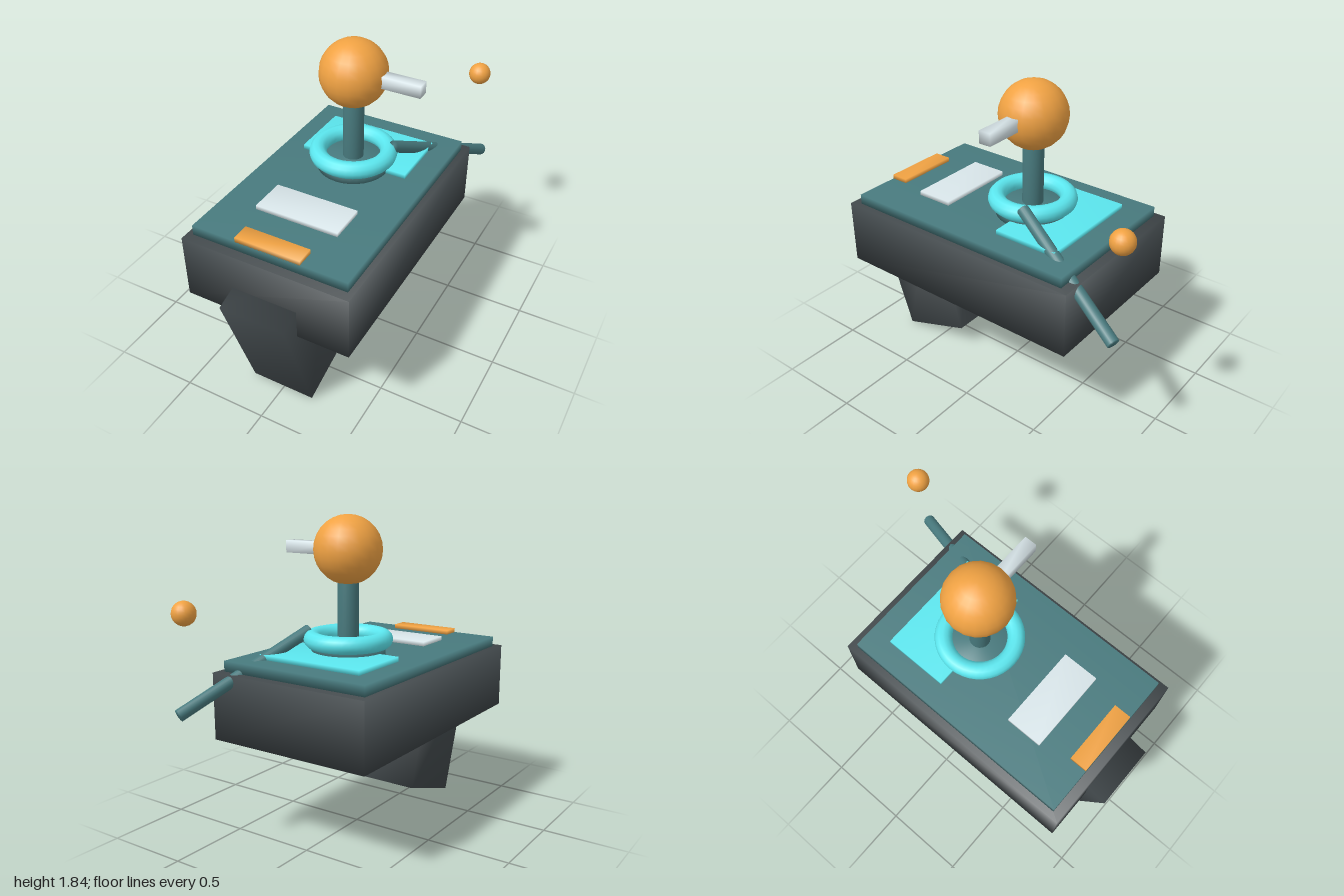
import * as THREE from 'three';
import { mergeVertices } from 'three/addons/utils/BufferGeometryUtils.js';

const material = (color) => new THREE.MeshStandardMaterial({ color });

// Share corner vertices so shading flows softly over every edge
function soften(geometry) {
  geometry.deleteAttribute('normal');
  geometry.deleteAttribute('uv');
  const merged = mergeVertices(geometry, 1e-4);
  merged.computeVertexNormals();
  return merged;
}

export function createModel() {
  const model = new THREE.Group();
  const dark = material(0x41484b);
  const teal = material(0x487a7e);
  const cyan = material(0x5be6ee);
  const orange = material(0xf0a243);
  const white = material(0xd9e6ea);
  const cx = -0.01;
  const stickZ = -0.1;

  function add(name, geometry, mat, x, y, z) {
    const mesh = new THREE.Mesh(geometry, mat);
    mesh.name = name;
    mesh.position.set(x, y, z);
    model.add(mesh);
    return mesh;
  }

  // Box given by its extents on each axis
  function box(name, mat, [x0, x1], [y0, y1], [z0, z1]) {
    const geometry = soften(new THREE.BoxGeometry(x1 - x0, y1 - y0, z1 - z0));
    return add(name, geometry, mat, (x0 + x1) / 2, (y0 + y1) / 2, (z0 + z1) / 2);
  }

  // Housing and top plate
  box('body', dark, [-0.51, 0.49], [0.615, 1.0], [-0.68, 0.875]);
  box('topPlate', teal, [-0.475, 0.455], [1.0, 1.06], [-0.625, 0.82]);

  // Slanted grip below the front
  const grip = add('grip', soften(new THREE.BoxGeometry(0.39, 0.78, 0.468)), dark, cx, 0.447, 0.655);
  grip.rotation.x = 0.319;

  // Panels lying on the plate
  box('rearPanel', cyan, [-0.345, 0.32], [1.055, 1.087], [-0.485, -0.1]);
  box('middlePanel', white, [-0.26, 0.24], [1.055, 1.085], [0.32, 0.54]);
  box('frontPanel', orange, [-0.205, 0.185], [1.055, 1.085], [0.715, 0.82]);

  // Stick with base disc, collar ring and knob
  add('stickBase', soften(new THREE.CylinderGeometry(0.21, 0.21, 0.07, 32)), teal, cx, 1.09, stickZ);
  const ring = new THREE.TorusGeometry(0.204, 0.05, 12, 40).rotateX(Math.PI / 2);
  add('collarRing', ring, cyan, cx, 1.15, stickZ);
  add('stick', soften(new THREE.CylinderGeometry(0.06, 0.06, 0.5, 20)), teal, cx, 1.31, stickZ);
  add('knob', new THREE.SphereGeometry(0.193, 20, 14), orange, cx, 1.65, stickZ);
  box('knobBar', white, [0.08, 0.4], [1.615, 1.685], [-0.136, -0.064]);

  // Slanted rod running through the rear corner
  const start = new THREE.Vector3(0.2, 1.19, -0.19);
  const end = new THREE.Vector3(0.475, 0.825, -0.955);
  const axis = end.clone().sub(start);
  const middle = start.clone().add(end).multiplyScalar(0.5);
  const rod = add('rearRod', soften(new THREE.CylinderGeometry(0.035, 0.035, axis.length(), 16)),
    teal, middle.x, middle.y, middle.z);
  rod.quaternion.setFromUnitVectors(new THREE.Vector3(0, 1, 0), axis.normalize());

  // Small ball floating behind the rod
  add('rearBall', new THREE.SphereGeometry(0.065, 20, 14), orange, 0.42, 1.37, -0.935);

  return model;
}
